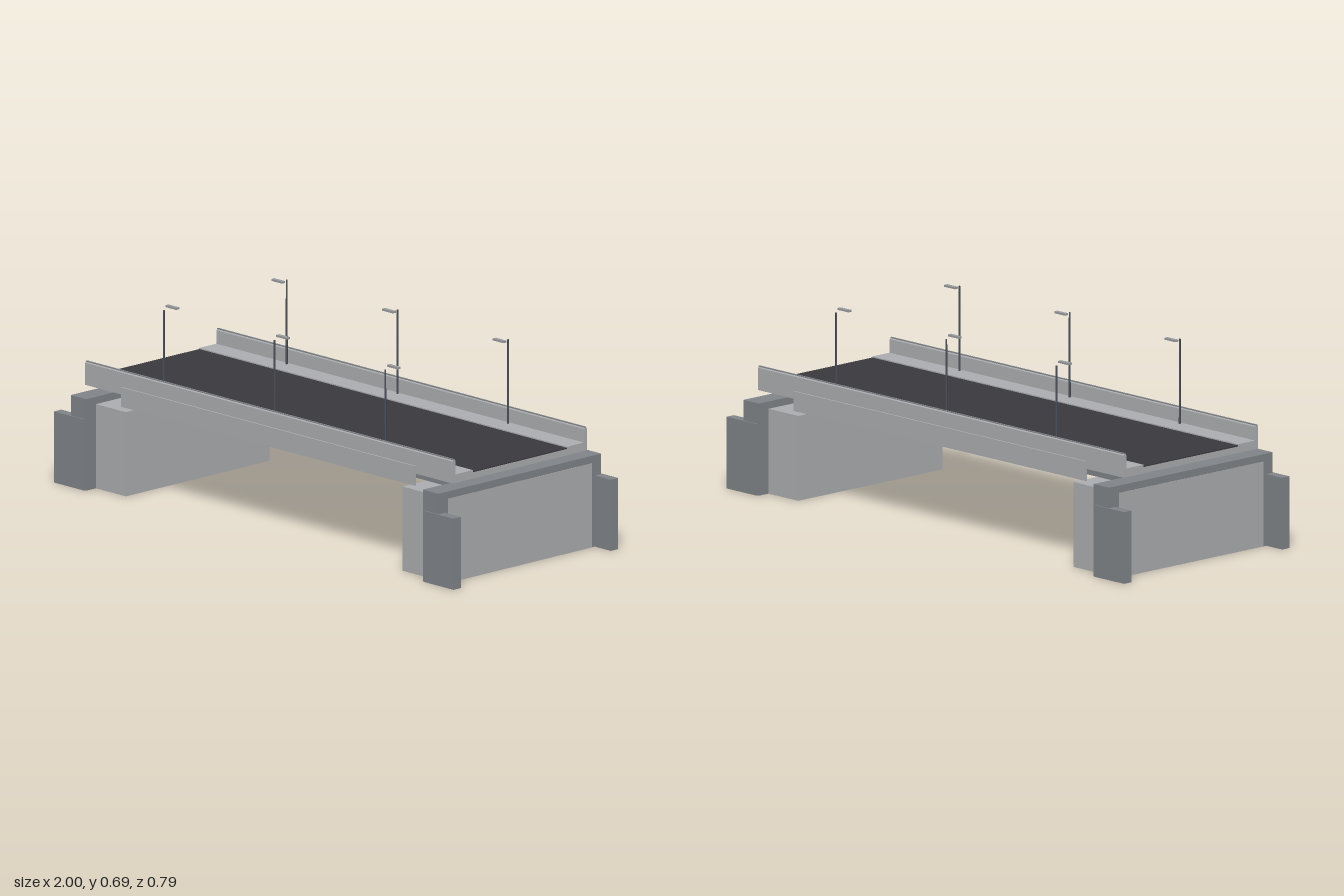
import * as THREE from 'three';

const mat = (name, color) => {
  const m = new THREE.MeshStandardMaterial({ color });
  m.name = name;
  return m;
};

export function createModel() {
  const concrete = mat('light concrete', 0xacadb0);
  const stone = mat('dark concrete', 0x808488);
  const asphalt = mat('asphalt', 0x3a393e);
  const steel = mat('pole steel', 0x4a505a);
  const lampGrey = mat('lamp grey', 0x9a9c9f);
  const model = new THREE.Group();
  model.name = 'bridge';

  // box given by its minimum and maximum on each axis
  const box = (name, material, [x0, x1], [y0, y1], [z0, z1]) => {
    const mesh = new THREE.Mesh(new THREE.BoxGeometry(x1 - x0, y1 - y0, z1 - z0), material);
    mesh.position.set((x0 + x1) / 2, (y0 + y1) / 2, (z0 + z1) / 2);
    mesh.name = name;
    model.add(mesh);
    return mesh;
  };
  const span = (s, a, b) => (s > 0 ? [a, b] : [-b, -a]);

  // abutments, back walls and wing walls at both ends
  for (const s of [1, -1]) {
    box('abutment', concrete, span(s, 0.692, 0.921), [0, 0.302], [-0.345, 0.345]);
    box('backWall', stone, span(s, 0.842, 0.92), [0, 0.328], [-0.391, 0.391]);
    for (const t of [1, -1]) {
      box('wingWall', stone, span(s, 0.85, 1), [0, 0.255], span(t, 0.36, 0.396));
    }
  }

  // girders under the deck
  for (const z of [-0.207, -0.069, 0.069, 0.207]) {
    box('girder', stone, [-0.785, 0.785], [0.302, 0.352], [z - 0.023, z + 0.023]);
  }

  // deck and road surface
  box('deck', concrete, [-0.92, 0.92], [0.352, 0.375], [-0.322, 0.322]);
  box('road', asphalt, [-0.92, 0.92], [0.375, 0.379], [-0.226, 0.226]);

  // parapet cross-section with bevelled top, run along the bridge
  const section = new THREE.Shape([
    [0.308, 0.383], [0.322, 0.383], [0.322, 0.431], [0.319, 0.435], [0.312, 0.435], [0.309, 0.431],
  ].map(([z, y]) => new THREE.Vector2(z, y)));

  for (const t of [1, -1]) {
    box('sidewalk', concrete, [-0.92, 0.92], [0.375, 0.383], span(t, 0.226, 0.322));
    const parapet = new THREE.Mesh(
      new THREE.ExtrudeGeometry(section, { depth: 1.84, bevelEnabled: false }), concrete);
    parapet.rotation.y = -t * Math.PI / 2;
    parapet.position.x = t * 0.92;
    parapet.name = 'parapet';
    model.add(parapet);
    box('parapetCap', stone, [-0.92, 0.92], [0.435, 0.438], span(t, 0.312, 0.319));
    box('fascia', concrete, [-0.735, 0.735], [0.31, 0.38], span(t, 0.322, 0.328));

    // street lamps
    for (const x of [-0.554, 0, 0.554]) {
      const pole = new THREE.Mesh(new THREE.CylinderGeometry(0.0032, 0.0038, 0.302, 8), steel);
      pole.position.set(x, 0.534, t * 0.295);
      pole.name = 'lampPole';
      model.add(pole);
      box('lampHead', lampGrey, [x - 0.027, x + 0.027], [0.685, 0.692], span(t, 0.247, 0.262));
    }
  }
  return model;
}
